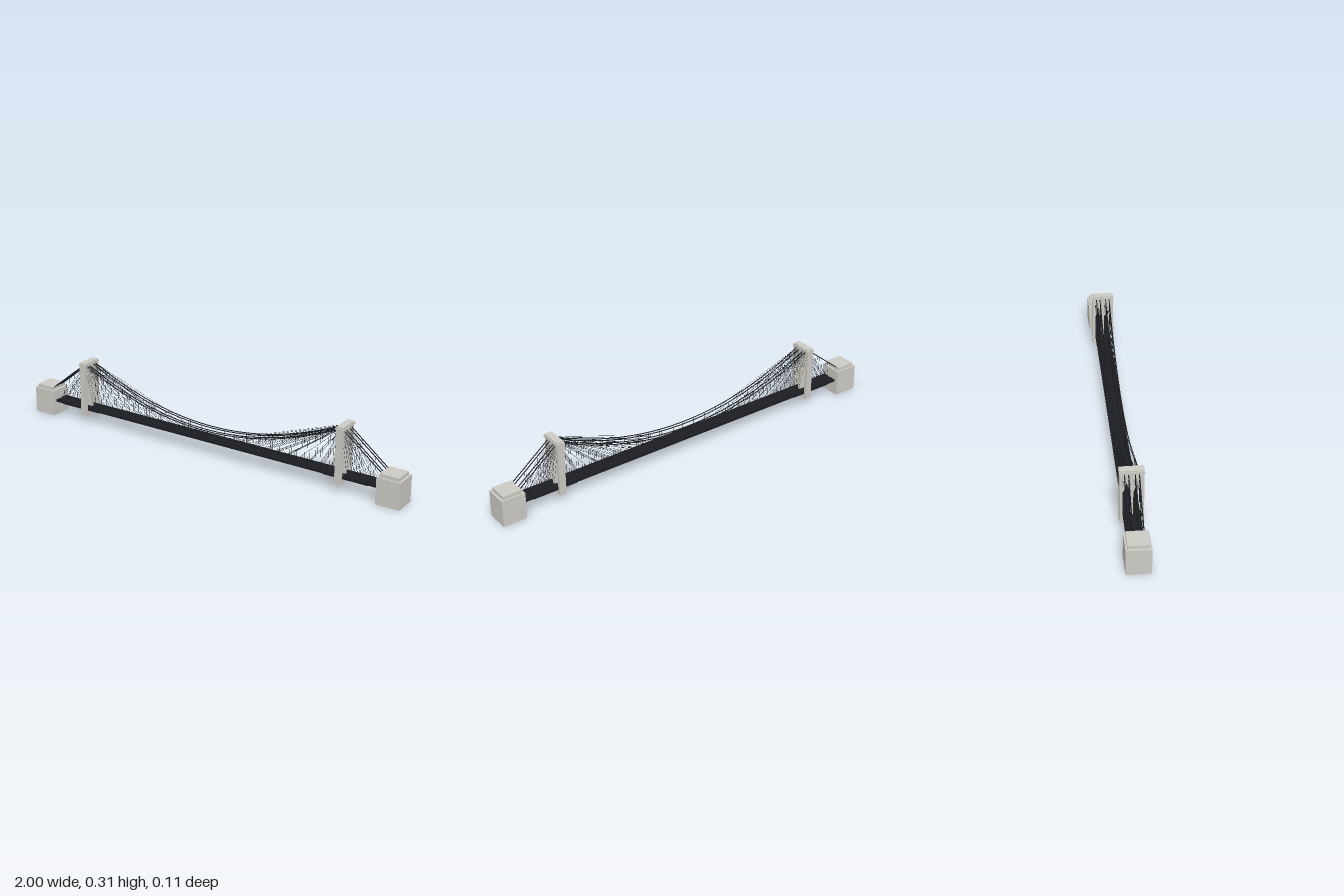
import * as THREE from 'three';

const stone = new THREE.MeshStandardMaterial({ color: 0xcccac4, flatShading: true });
const dark = new THREE.MeshStandardMaterial({ color: 0x1d1f23 });
const UP = new THREE.Vector3(0, 1, 0);
const CABLE_Z = [-0.031, -0.014, 0.014, 0.031];
const TOWER_X = 0.7, TOP_Y = 0.3, SAG_Y = 0.12, DECK_Y = 0.077;

// Box given by its min and max corners
function box(parent, name, mat, [x0, y0, z0], [x1, y1, z1]) {
  const m = new THREE.Mesh(new THREE.BoxGeometry(x1 - x0, y1 - y0, z1 - z0), mat);
  m.position.set((x0 + x1) / 2, (y0 + y1) / 2, (z0 + z1) / 2);
  m.name = name;
  parent.add(m);
  return m;
}

// Straight round rod between two points
function rod(parent, name, a, b, r, sides = 4) {
  const d = b.clone().sub(a);
  const m = new THREE.Mesh(new THREE.CylinderGeometry(r, r, d.length(), sides), dark);
  m.position.copy(a).add(b).multiplyScalar(0.5);
  m.quaternion.setFromUnitVectors(UP, d.normalize());
  m.name = name;
  parent.add(m);
}

const v = (x, y, z) => new THREE.Vector3(x, y, z);
const cableY = (x) => SAG_Y + (TOP_Y - SAG_Y) * (x / TOWER_X) ** 2;
const sideY = (x) => TOP_Y - (x - TOWER_X) * 0.8;

function makeTower() {
  const g = new THREE.Group();
  g.name = 'tower';
  const w = 0.016;
  box(g, 'towerFooting', stone, [-w, 0.045, -0.052], [w, 0.066, 0.052]);
  box(g, 'middlePier', stone, [-w, 0.066, -0.006], [w, 0.262, 0.006]);
  for (const s of [-1, 1]) {
    const [a, b] = s > 0 ? [0.038, 0.052] : [-0.052, -0.038];
    box(g, 'outerPier', stone, [-w, 0.066, a], [w, 0.262, b]);
    // Sloping stones that form each pointed arch
    for (const t of [-1, 1]) {
      const bar = box(g, 'archStone', stone, [-w * 0.9, 0, -0.0035], [w * 0.9, 0.06, 0.0035]);
      bar.position.set(0, 0.23, s * 0.022 + t * 0.0085);
      bar.rotation.x = -t * 0.27;
    }
  }
  box(g, 'towerHeader', stone, [-w, 0.26, -0.052], [w, 0.296, 0.052]);
  box(g, 'cornice', stone, [-0.02, 0.295, -0.054], [0.02, 0.304, 0.054]);
  box(g, 'towerCap', stone, [-0.017, 0.304, -0.05], [0.017, 0.31, 0.05]);
  return g;
}

function makeAnchorage() {
  const g = new THREE.Group();
  g.name = 'anchorage';
  box(g, 'anchorBlock', stone, [-0.057, 0, -0.054], [0.057, 0.128, 0.054]);
  box(g, 'anchorCap', stone, [-0.046, 0.128, -0.046], [0.046, 0.144, 0.046]);
  return g;
}

// Roadway slab with edge girders, ribs and thicker parts at the towers
function makeDeck() {
  const g = new THREE.Group();
  g.name = 'deck';
  box(g, 'roadway', dark, [-0.89, 0.069, -0.036], [0.89, 0.077, 0.036]);
  for (const z of [-0.035, ...CABLE_Z, 0.035])
    box(g, 'deckGirder', dark, [-0.89, 0.068, z - 0.001], [0.89, 0.081, z + 0.001]);
  for (const s of [-1, 1])
    box(g, 'towerDeck', dark, [s * 0.73 - 0.11, 0.066, -0.037], [s * 0.73 + 0.11, 0.08, 0.037]);
  return g;
}

// One vertical plane of main cable, hangers and fan stays
function makeCablePlane(z) {
  const g = new THREE.Group();
  g.name = 'cablePlane';
  const pts = [];
  for (let i = 0; i <= 28; i++) {
    const x = -TOWER_X + i * TOWER_X / 14;
    pts.push(v(x, cableY(x), z));
  }
  const tube = new THREE.TubeGeometry(new THREE.CatmullRomCurve3(pts), 64, 0.0022, 6);
  const main = new THREE.Mesh(tube, dark);
  main.name = 'mainCable';
  g.add(main);

  for (let i = -10; i <= 10; i++) {
    const x = i * 0.064;
    rod(g, 'hanger', v(x, DECK_Y, z), v(x, cableY(x), z), 0.0006);
  }
  for (const s of [-1, 1]) {
    const top = v(s * TOWER_X, TOP_Y - 0.002, z);
    rod(g, 'sideCable', v(s * TOWER_X, TOP_Y, z), v(s * 0.905, sideY(0.905), z), 0.0022, 6);
    for (let i = 0; i < 10; i++)
      rod(g, 'mainStay', top, v(s * (0.65 - i * 0.064), DECK_Y, z), 0.0006);
    for (let i = 0; i < 5; i++) {
      const x = 0.735 + i * 0.034;
      rod(g, 'sideStay', top, v(s * x, DECK_Y, z), 0.0006);
      if (i % 2) rod(g, 'sideHanger', v(s * x, DECK_Y, z), v(s * x, sideY(x), z), 0.0006);
    }
  }
  return g;
}

export function createModel() {
  const bridge = new THREE.Group();
  bridge.name = 'suspensionBridge';
  bridge.add(makeDeck());
  for (const s of [-1, 1]) {
    const tower = makeTower();
    tower.position.x = s * TOWER_X;
    const anchorage = makeAnchorage();
    anchorage.position.x = s * 0.943;
    bridge.add(tower, anchorage);
  }
  for (const z of CABLE_Z) bridge.add(makeCablePlane(z));
  return bridge;
}
